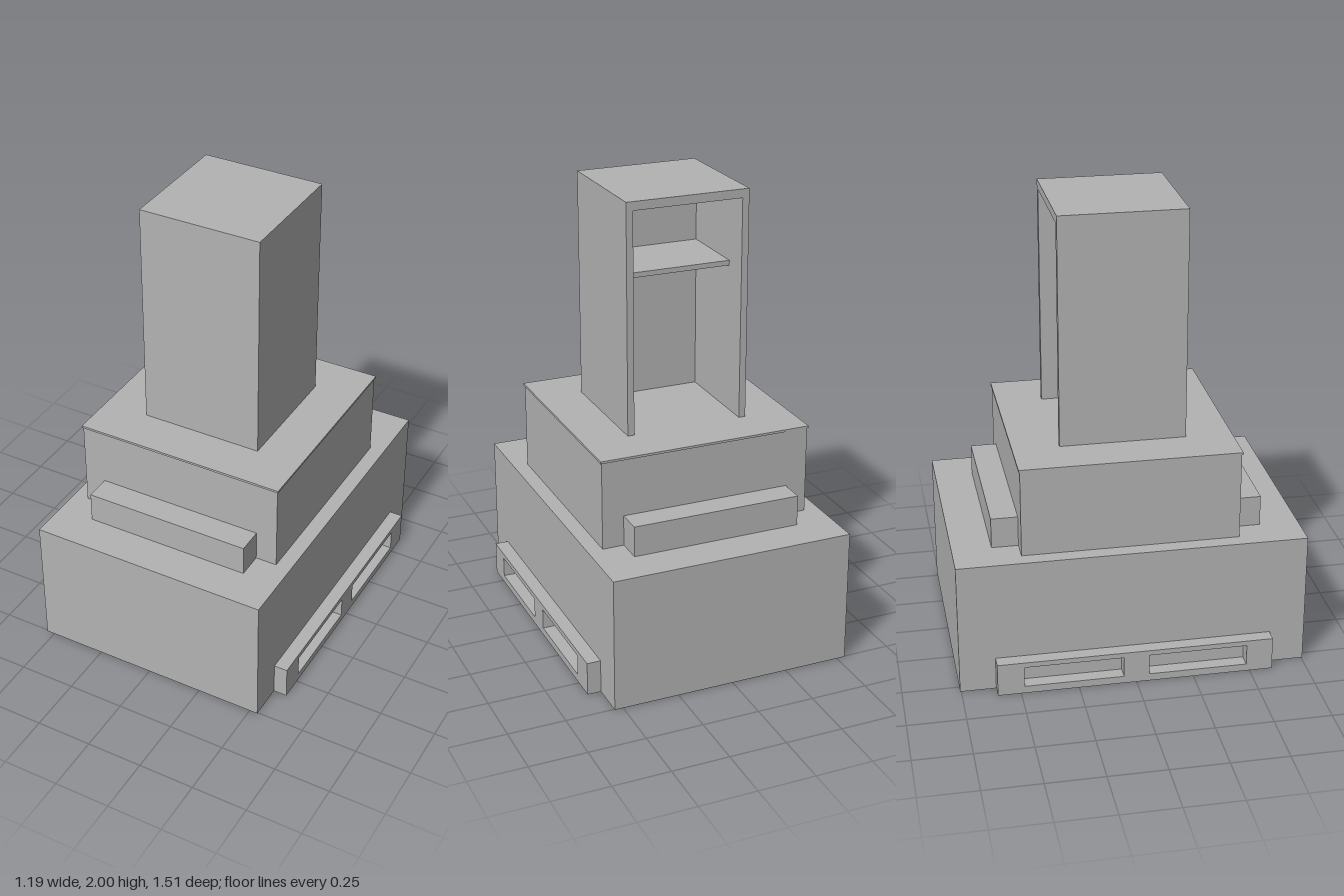
import * as THREE from 'three';

export function createModel() {
  const model = new THREE.Group();
  model.name = 'steppedTower';
  const grey = new THREE.MeshStandardMaterial({ color: 0xb3b3b3 });
  grey.name = 'grey';

  // Box given by its min and max on each axis
  function box(name, [x0, x1], [y0, y1], [z0, z1], parent = model) {
    const mesh = new THREE.Mesh(new THREE.BoxGeometry(x1 - x0, y1 - y0, z1 - z0), grey);
    mesh.position.set((x0 + x1) / 2, (y0 + y1) / 2, (z0 + z1) / 2);
    mesh.name = name;
    parent.add(mesh);
    return mesh;
  }

  // Stepped base and middle tier with its slightly overhanging lid
  box('base', [-0.537, 0.537], [0, 0.592], [-0.755, 0.755]);
  box('middleTier', [-0.47, 0.47], [0.592, 0.98], [-0.47, 0.47]);
  box('middleLid', [-0.475, 0.475], [0.98, 0.99], [-0.475, 0.475]);

  // Ledges on the front and back of the middle tier
  box('frontLedge', [-0.375, 0.375], [0.592, 0.727], [0.47, 0.585]);
  box('backLedge', [-0.375, 0.375], [0.592, 0.727], [-0.585, -0.47]);

  // Side rails, each with two slots through to the base
  const outline = new THREE.Shape();
  outline.moveTo(-0.6, 0).lineTo(0.6, 0).lineTo(0.6, 0.148).lineTo(-0.6, 0.148).closePath();
  for (const [a, b] of [[-0.485, -0.055], [0.055, 0.485]]) {
    const slot = new THREE.Path();
    slot.moveTo(a, 0.033).lineTo(a, 0.125).lineTo(b, 0.125).lineTo(b, 0.033).closePath();
    outline.holes.push(slot);
  }
  const railGeometry = new THREE.ExtrudeGeometry(outline, { depth: 0.06, bevelEnabled: false });
  for (const side of [-1, 1]) {
    const rail = new THREE.Mesh(railGeometry, grey);
    rail.name = side > 0 ? 'leftRail' : 'rightRail';
    rail.rotation.y = side * Math.PI / 2;
    rail.position.x = side * 0.537;
    model.add(rail);
  }

  // Hollow tower, open at the back, with a shelf inside
  const tower = new THREE.Group();
  tower.name = 'tower';
  model.add(tower);
  box('leftWall', [0.243, 0.273], [0.99, 1.962], [-0.273, 0.273], tower);
  box('rightWall', [-0.273, -0.243], [0.99, 1.962], [-0.273, 0.273], tower);
  box('frontWall', [-0.243, 0.243], [0.99, 1.962], [0.183, 0.273], tower);
  box('roof', [-0.273, 0.273], [1.962, 2], [-0.273, 0.273], tower);
  box('shelf', [-0.243, 0.243], [1.64, 1.662], [-0.155, 0.183], tower);

  return model;
}
